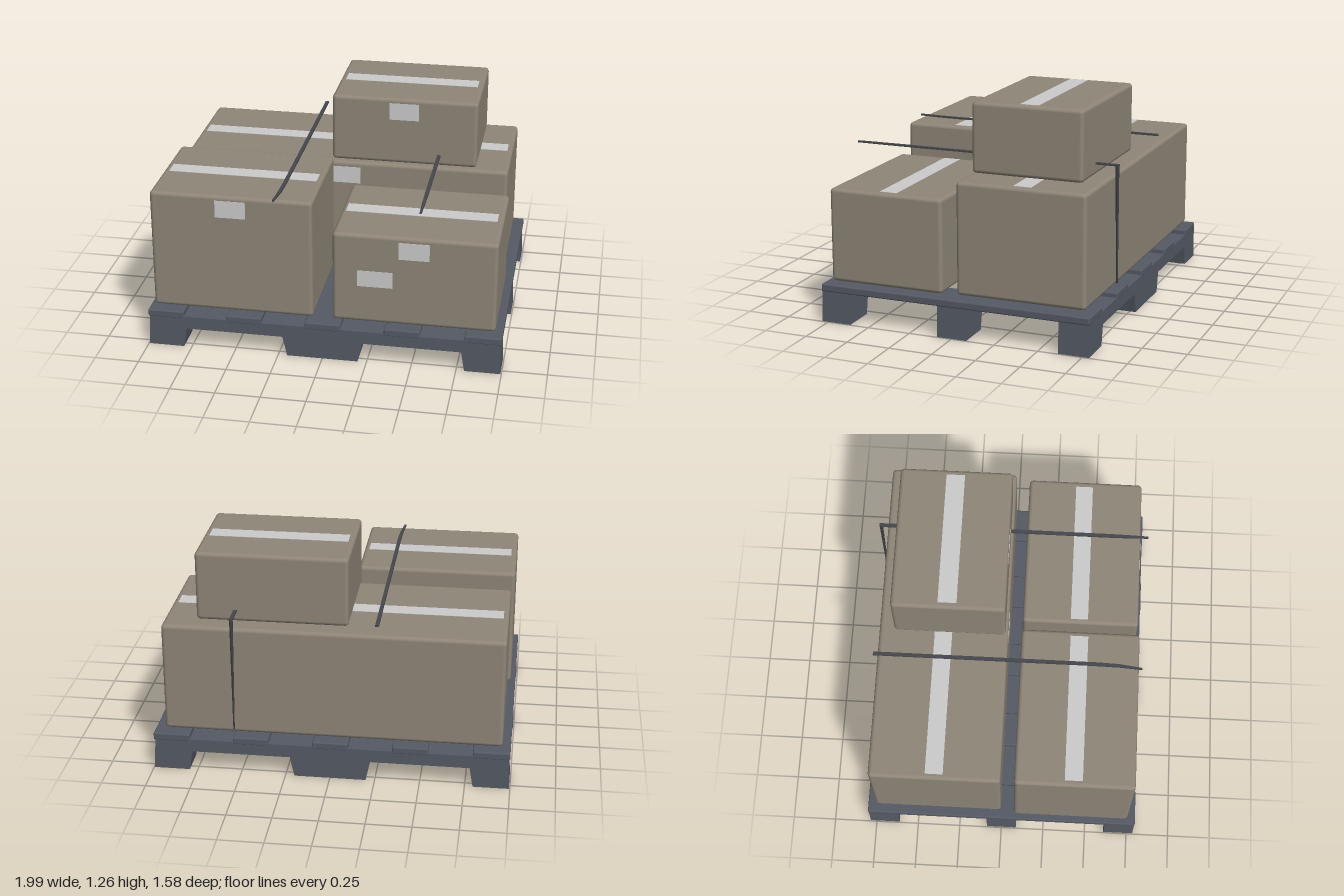
import * as THREE from 'three';
import { RoundedBoxGeometry } from 'three/addons/geometries/RoundedBoxGeometry.js';

const material = (color) => new THREE.MeshStandardMaterial({ color });
const cardboard = material(0x8f8678);
const palletBlue = material(0x555a65);
const strapDark = material(0x45474d);
const paper = material(0xcccccc);

// Mesh spanning the given min/max ranges; a radius rounds the edges
function block(name, [x0, x1], [y0, y1], [z0, z1], mat, radius = 0) {
  const size = [x1 - x0, y1 - y0, z1 - z0];
  const geometry = radius
    ? new RoundedBoxGeometry(...size, 2, radius)
    : new THREE.BoxGeometry(...size);
  const mesh = new THREE.Mesh(geometry, mat);
  mesh.name = name;
  mesh.position.set((x0 + x1) / 2, (y0 + y1) / 2, (z0 + z1) / 2);
  return mesh;
}

// Carton with a tape strip on the lid and labels on the front
function carton(name, x, y, z, tapeX, tapeZ, labels) {
  const group = new THREE.Group();
  group.name = name;
  group.add(block('cartonBody', x, y, z, cardboard, 0.022));
  group.add(block('tape', tapeX, [y[1] - 0.002, y[1] + 0.002], tapeZ, paper));
  for (const [lx, ly] of labels) {
    group.add(block('label', lx, ly, [z[1] - 0.002, z[1] + 0.002], paper));
  }
  return group;
}

function createPallet() {
  const pallet = new THREE.Group();
  pallet.name = 'pallet';

  // Runners along x: a beam with three tapered feet in one profile
  const half = [[0.2, 0], [0.225, 0.115], [0.775, 0.115], [0.795, 0], [0.995, 0], [0.985, 0.19]];
  const mirrored = half.map(([x, y]) => [-x, y]).reverse();
  const profile = new THREE.Shape([...mirrored, ...half].map(([x, y]) => new THREE.Vector2(x, y)));
  const depth = 0.174;
  const runnerGeometry = new THREE.ExtrudeGeometry(profile, { depth, bevelEnabled: false });
  for (const z of [-0.7, 0, 0.7]) {
    const runner = new THREE.Mesh(runnerGeometry, palletBlue);
    runner.name = 'runner';
    runner.position.z = z - depth / 2;
    pallet.add(runner);
  }

  // Deck slats along z
  for (const [a, b] of [[-0.995, -0.79], [-0.545, -0.345], [-0.1, 0.1], [0.345, 0.545], [0.79, 0.995]]) {
    pallet.add(block('slat', [a, b], [0.175, 0.218], [-0.788, 0.788], palletBlue, 0.008));
  }
  return pallet;
}

// Flat strap along z, bending slightly and narrowing at its front end
function strap(name, x, backZ, frontZ, lean) {
  const geometry = new THREE.BoxGeometry(0.02, 0.01, frontZ - backZ, 1, 1, 12);
  geometry.translate(x, 0.932, (frontZ + backZ) / 2);
  const p = geometry.attributes.position;
  for (let i = 0; i < p.count; i++) {
    const t = Math.max(0, (p.getZ(i) - 0.6) / (frontZ - 0.6));
    p.setX(i, x + (p.getX(i) - x) * (1 - 0.5 * t) + lean * t);
  }
  geometry.computeVertexNormals();
  const mesh = new THREE.Mesh(geometry, strapDark);
  mesh.name = name;
  return mesh;
}

export function createModel() {
  const model = new THREE.Group();
  model.name = 'loadedPallet';
  model.add(createPallet());

  model.add(
    carton('tallFrontCarton', [-0.968, -0.06], [0.23, 0.926], [0.072, 0.742],
      [-0.935, -0.09], [0.35, 0.45], [[[-0.6, -0.43], [0.8, 0.9]]]),
    carton('lowFrontCarton', [0.05, 0.955], [0.23, 0.76], [0.072, 0.742],
      [0.075, 0.92], [0.35, 0.45],
      [[[0.415, 0.585], [0.63, 0.73]], [[0.19, 0.385], [0.45, 0.545]]]),
    carton('longBackCarton', [-0.95, 0.935], [0.23, 0.862], [-0.742, -0.004],
      [-0.92, 0.905], [-0.425, -0.325], [[[-0.09, 0.08], [0.73, 0.83]]]),
    carton('topCarton', [-0.088, 0.752], [0.868, 1.262], [-0.656, -0.02],
      [-0.055, 0.72], [-0.395, -0.29], [[[0.245, 0.415], [1.135, 1.235]]]),
  );

  // Straps over the load, one with a tapering tail hanging down the back
  model.add(strap('shortStrap', -0.255, -0.76, 0.76, -0.015));
  model.add(strap('longStrap', 0.535, -0.785, 0.775, 0));
  const tail = new THREE.CylinderGeometry(0.012, 0.005, 0.66, 4, 1, false, Math.PI / 4);
  const tailMesh = new THREE.Mesh(tail, strapDark);
  tailMesh.name = 'strapTail';
  tailMesh.position.set(0.535, 0.602, -0.779);
  tailMesh.rotation.x = 0.012;
  model.add(tailMesh);

  return model;
}
